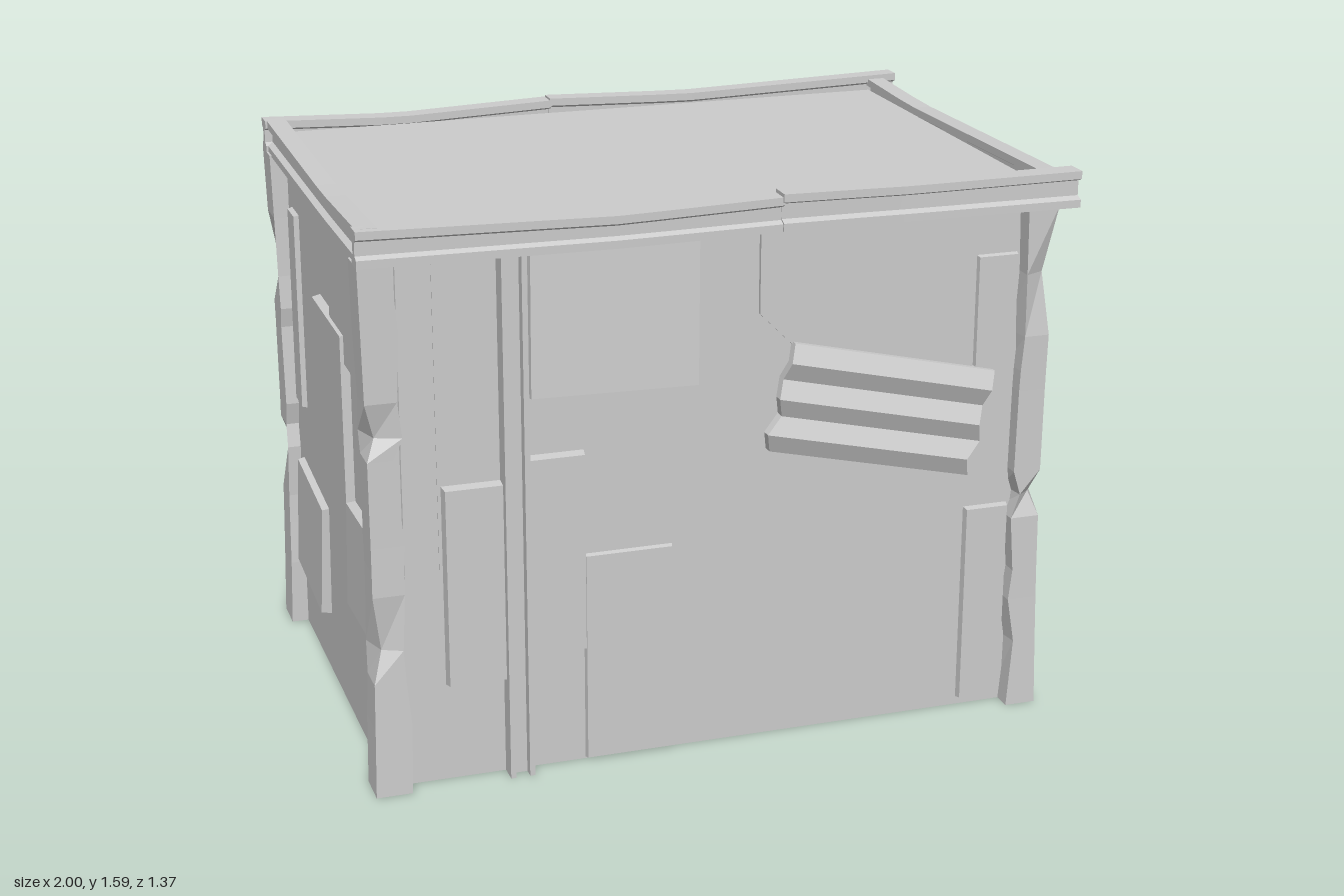
import * as THREE from 'three';

const mat = new THREE.MeshStandardMaterial({ color: 0xcccccc, flatShading: true, side: THREE.DoubleSide });

function add(parent, geometry, name, x = 0, y = 0, z = 0, roll = 0) {
  const mesh = new THREE.Mesh(geometry, mat);
  mesh.name = name;
  mesh.position.set(x, y, z);
  mesh.rotation.z = roll;
  parent.add(mesh);
  return mesh;
}

// Run a rule over every vertex of a geometry
function reshape(geometry, rule) {
  const p = geometry.attributes.position;
  const v = new THREE.Vector3();
  for (let i = 0; i < p.count; i++) {
    rule(v.fromBufferAttribute(p, i));
    p.setXYZ(i, v.x, v.y, v.z);
  }
  geometry.computeVertexNormals();
  return geometry;
}

// Linear interpolation through [position, value] pairs
function sample(pairs, t) {
  for (let i = 1; i < pairs.length; i++) {
    const [a, va] = pairs[i - 1], [b, vb] = pairs[i];
    if (t <= b) return va + (vb - va) * Math.max(0, (t - a) / (b - a));
  }
  return pairs[pairs.length - 1][1];
}

// Flat patch with sloping edges; lean pushes the lower edge away from the wall
function patch(wall, [x, y, w, h, t = 0.02, roll = 0, lean = 0]) {
  const geo = reshape(new THREE.BoxGeometry(w, h, t + 0.02), v => {
    if (v.z > 0) {
      v.x *= 1 - 0.016 / w;
      v.y *= 1 - 0.016 / h;
      v.z += lean * (0.5 - v.y / h);
    }
  });
  add(wall, geo, 'wallPatch', x, y, t / 2 - 0.01, roll);
}

// Corrugated sheet with ridges along its height and ragged ends
function corrugated(wall, [x, y, w, h, roll, folds = 4]) {
  const n = folds * 2;
  const geo = reshape(new THREE.BoxGeometry(w, h, 0.03, n, 1, 1), v => {
    const i = Math.round((v.x / w + 0.5) * n);
    v.z += i % 2 ? 0.012 : -0.012;
    v.y += 0.012 * Math.sin(i * 2.1) + (i % 2 ? 0.008 : -0.008);
  });
  add(wall, geo, 'corrugatedSheet', x, y, 0.027, roll);
}

// Horizontal I-beam from x0 to x1, bent by height and outward offsets
function iBeam(wall, x0, x1, out, half, y0, y1, sag, push = [[-1, 0], [1, 0]]) {
  const t = 0.022, web = 0.012, h = (y1 - y0) / 2;
  const side = [[half, -h], [half, -h + t], [web, -h + t + 0.008], [web, h - t - 0.008], [half, h - t], [half, h]];
  const points = [...side, ...side.map(([x, y]) => [-x, -y])].map(p => new THREE.Vector2(...p));
  const geo = new THREE.ExtrudeGeometry(new THREE.Shape(points), { depth: x1 - x0, steps: 10, bevelEnabled: false });
  geo.rotateY(Math.PI / 2);
  reshape(geo, v => {
    v.x += x0;
    v.y += (y0 + y1) / 2 + (v.y > 0 ? 1 : 0.4) * sample(sag, v.x);
    v.z += out + sample(push, v.x);
  });
  add(wall, geo, 'roofBeam');
}

// Vertical steel column: two flanged ribs with a recessed web
function column(wall, x, depth) {
  const g = new THREE.Group();
  g.name = 'steelColumn';
  g.position.x = x;
  for (const s of [-1, 1]) {
    add(g, new THREE.BoxGeometry(0.015, 1.49, depth), 'columnRib', s * 0.027, 0.745, depth / 2);
  }
  add(g, new THREE.BoxGeometry(0.05, 1.49, 0.025), 'columnWeb', 0, 0.745, 0.0125);
  wall.add(g);
}

// Weathered corner post with chips cut from its outer and inner edges
function post(parent, x0, x1, z0, z1, sx, sz, seed) {
  const rows = [0, 0.2, 0.33, 0.42, 0.58, 0.65, 0.72, 0.96, 1.02, 1.12, 1.3, 1.49];
  const geo = reshape(new THREE.BoxGeometry(x1 - x0, 1.49, z1 - z0, 1, rows.length - 1, 1), v => {
    const r = Math.round((v.y / 1.49 + 0.5) * (rows.length - 1));
    const outerX = v.x * sx > 0, outerZ = v.z * sz > 0;
    const waist = 0.012 * Math.sin(Math.PI * rows[r] / 1.49);
    const wobble = r > 0 && r < rows.length - 1 ? 0.006 * Math.sin(r * 2.7 + seed) : 0;
    const chip = (r + seed) % 5 === 0 && r > 0 && r < 11 ? 0.025 : 0;
    if (outerX) v.x -= sx * (waist + (outerZ ? chip : 0));
    else v.x += sx * wobble + (outerZ && (r + seed) % 4 === 1 ? sx * 0.014 : 0);
    if (outerZ) v.z -= sz * (waist + (outerX ? chip : 0));
    else v.z += sz * wobble * 1.5;
    v.y = rows[r];
  });
  add(parent, geo, 'cornerPost', (x0 + x1) / 2, 0, (z0 + z1) / 2);
}

export function createModel() {
  const model = new THREE.Group();
  model.name = 'patchedShack';

  // Solid walls and roof deck
  add(model, new THREE.BoxGeometry(1.86, 1.545, 1.22), 'shackBody', -0.02, 0.7725, -0.01);

  // One group per wall: x runs right, z points outward
  const makeWall = (name, x, z, turn) => {
    const g = new THREE.Group();
    g.name = name;
    g.position.set(x, 0, z);
    g.rotation.y = turn;
    model.add(g);
    return g;
  };
  const front = makeWall('frontWall', 0, 0.6, 0);
  const right = makeWall('rightWall', 0.91, 0, Math.PI / 2);
  const back = makeWall('backWall', 0, -0.62, Math.PI);
  const left = makeWall('leftWall', -0.95, 0, -Math.PI / 2);

  // Corner posts
  post(model, -1, -0.9, 0.55, 0.655, -1, 1, 2);
  post(model, 0.86, 0.95, 0.55, 0.655, 1, 1, 0);
  post(model, -1, -0.9, -0.68, -0.57, -1, -1, 1);
  post(model, 0.86, 0.95, -0.68, -0.57, 1, -1, 3);

  // Roof beams, front and back each in two lengths
  iBeam(front, -1, 0.15, 0.027, 0.028, 1.485, 1.58, [[-1, 0.004], [-0.3, -0.012], [0.15, 0]]);
  iBeam(front, 0.145, 1, 0.03, 0.032, 1.488, 1.59, [[0.14, 0], [0.5, -0.006], [1, 0]], [[0.14, 0], [0.45, 0], [1, 0.018]]);
  iBeam(back, -1, 0.13, 0.025, 0.028, 1.485, 1.588, [[-1, 0.004], [-0.3, -0.012], [0.13, 0]], [[-1, 0.004], [-0.3, -0.004], [0.13, 0.006]]);
  iBeam(back, 0.125, 1, 0.032, 0.03, 1.485, 1.58, [[0.12, 0.002], [0.6, -0.012], [1, 0.002]], [[0.12, 0.004], [0.6, -0.01], [1, -0.004]]);
  iBeam(right, -0.63, 0.63, 0.024, 0.026, 1.49, 1.575, [[-0.63, 0.008], [0.3, -0.008], [0.63, 0.004]]);
  iBeam(left, -0.65, 0.63, 0.016, 0.028, 1.485, 1.58, [[-0.65, 0.002], [0.2, -0.01], [0.63, 0.004]]);

  // Steel columns
  column(front, -0.59, 0.055);
  column(back, -0.23, 0.062);

  // Patches: x, y, width, height, thickness, roll, lean
  [
    [-0.70, 0.57, 0.18, 0.58, 0.03],
    [-0.475, 0.63, 0.17, 0.58, 0.03],
    [-0.31, 1.28, 0.48, 0.41, 0.02, -0.02, 0.02],
    [-0.27, 0.31, 0.26, 0.62, 0.015],
    [0.795, 1.145, 0.13, 0.43, 0.015],
    [0.79, 0.32, 0.14, 0.6, 0.02],
    [-0.845, 1.04, 0.11, 0.88, 0.006],
  ].forEach(p => patch(front, p));

  // Torn sheet behind the front corrugated piece
  const torn = new THREE.Shape([[0.1, 1.48], [0.1, 1.25], [0.24, 1.11], [0.73, 1.0], [0.73, 1.48]].map(p => new THREE.Vector2(...p)));
  add(front, new THREE.ExtrudeGeometry(torn, { depth: 0.012, bevelEnabled: false }), 'tornSheet');

  [
    [-0.49, 1.135, 0.12, 0.45, 0.025],
    [0.175, 1.275, 0.77, 0.43, 0.015],
    [0.27, 0.98, 0.48, 0.41, 0.025, -0.28, 0.025],
    [0.29, 0.6, 0.54, 0.3, 0.02],
  ].forEach(p => patch(right, p));

  [
    [-0.51, 0.94, 0.3, 0.47, 0.025, 0.5, 0.025],
    [-0.63, 0.69, 0.46, 0.26, 0.012],
    [-0.095, 1.15, 0.13, 0.36, 0.03],
    [0.53, 0.63, 0.39, 0.38, 0.02, -0.64, 0.01],
    [0.85, 0.99, 0.12, 0.57, 0.02],
  ].forEach(p => patch(back, p));

  [
    [-0.465, 1.05, 0.11, 0.6, 0.015],
    [0.31, 1.29, 0.48, 0.38, 0.015],
    [0.07, 0.91, 0.4, 0.57, 0.025],
    [0.4, 0.565, 0.28, 0.31, 0.025, 0.04, 0.01],
    [-0.335, 0.38, 0.38, 0.35, 0.02, -0.08, 0.01],
  ].forEach(p => patch(left, p));

  // Corrugated sheets: x, y, width, height, roll, folds
  corrugated(front, [0.45, 0.945, 0.31, 0.61, Math.PI / 2 - 0.23, 3]);
  corrugated(right, [-0.14, 0.68, 0.39, 0.7, 0.14]);
  corrugated(back, [0.22, 1.2, 0.2, 0.42, Math.PI / 2 + 0.62, 3]);
  corrugated(back, [0.665, 1.11, 0.3, 0.57, 0.23]);

  return model;
}
